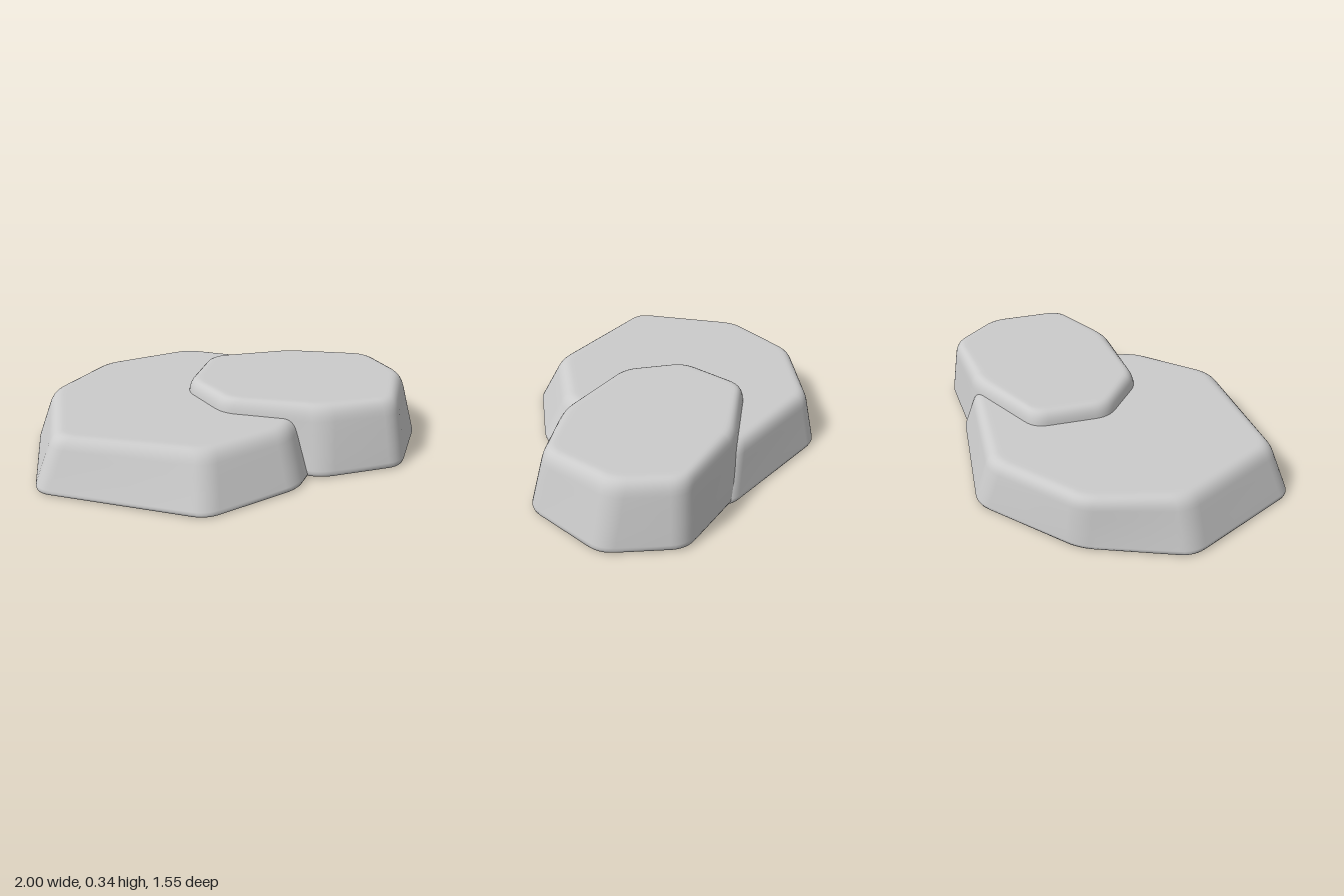
import * as THREE from 'three';

// Replace each corner of an outline with a small curve.
function roundCorners(points, cut = 0.07, steps = 6) {
  const out = [];
  const n = points.length;
  points.forEach((p, i) => {
    const corner = new THREE.Vector2(...p);
    const toward = (q) => new THREE.Vector2(...q).sub(corner).setLength(cut).add(corner);
    const arc = new THREE.QuadraticBezierCurve(
      toward(points[(i + n - 1) % n]), corner, toward(points[(i + 1) % n]));
    out.push(...arc.getPoints(steps));
  });
  return out;
}

// Loft a tapered stone slab from its foot outline to its top outline, both [x, z].
function slabGeometry(foot, top, height) {
  const low = roundCorners(foot);
  const high = roundCorners(top);
  const n = low.length;
  const center = high.reduce((s, p) => s.add(p), new THREE.Vector2()).divideScalar(n);

  // Profile as [taper 0..1, inset]: soft foot, straight side, rounded rim, flat top.
  const profile = [[0, 0.2], [0, 0.035], [0.02, 0.009], [0.06, 0.001], [0.1, 0]];
  profile.push([0.35, 0], [0.6, 0], [0.78, 0]);
  for (let k = 1; k <= 6; k++) {
    const u = k / 6;
    profile.push([1 - 0.22 * (1 - u) ** 2, 0.05 * u * u]);
  }
  profile.push([1, 0.07], [1, 0.14]);

  const positions = [];
  const index = [];
  for (const [t, inset] of profile) {
    for (let j = 0; j < n; j++) {
      const p = low[j].clone().lerp(high[j], t);
      const inward = center.clone().sub(p).setLength(inset);
      positions.push(p.x + inward.x, t * height, p.y + inward.y);
    }
  }
  for (let i = 0; i < profile.length - 1; i++) {
    for (let j = 0; j < n; j++) {
      const a = i * n + j;
      const b = i * n + (j + 1) % n;
      index.push(a, b, b + n, a, b + n, a + n);
    }
  }
  // Flat caps
  const bottomCenter = profile.length * n;
  const lastRing = (profile.length - 1) * n;
  positions.push(center.x, 0, center.y, center.x, height, center.y);
  for (let j = 0; j < n; j++) {
    const k = (j + 1) % n;
    index.push(k, j, bottomCenter, lastRing + j, lastRing + k, bottomCenter + 1);
  }

  const geometry = new THREE.BufferGeometry();
  geometry.setAttribute('position', new THREE.Float32BufferAttribute(positions, 3));
  geometry.setIndex(index);
  geometry.computeVertexNormals();
  return geometry;
}

export function createModel() {
  const group = new THREE.Group();
  group.name = 'steppingStones';
  const material = new THREE.MeshStandardMaterial({ color: 0xcccccc });

  const addSlab = (name, foot, top, height) => {
    const mesh = new THREE.Mesh(slabGeometry(foot, top, height), material);
    mesh.name = name;
    group.add(mesh);
  };

  // Wide, lower slab
  addSlab('largeStone',
    [[-0.09, -0.8], [-0.64, -0.61], [-1.01, -0.24], [-1.0, 0.43],
      [-0.23, 0.79], [0.24, 0.59], [0.55, 0.1], [0.56, -0.46]],
    [[-0.14, -0.73], [-0.63, -0.58], [-0.91, -0.22], [-0.89, 0.38],
      [-0.22, 0.64], [0.2, 0.46], [0.42, 0.08], [0.42, -0.46]],
    0.27);

  // Smaller, taller slab overlapping it
  addSlab('smallStone',
    [[0.45, -0.49], [-0.08, -0.44], [-0.25, -0.07], [-0.1, 0.27],
      [0.37, 0.505], [0.8, 0.45], [1.02, 0.04], [0.9, -0.33]],
    [[0.41, -0.45], [-0.05, -0.41], [-0.21, -0.07], [-0.07, 0.23],
      [0.38, 0.4], [0.77, 0.37], [0.93, 0.0], [0.84, -0.31]],
    0.34);

  return group;
}
